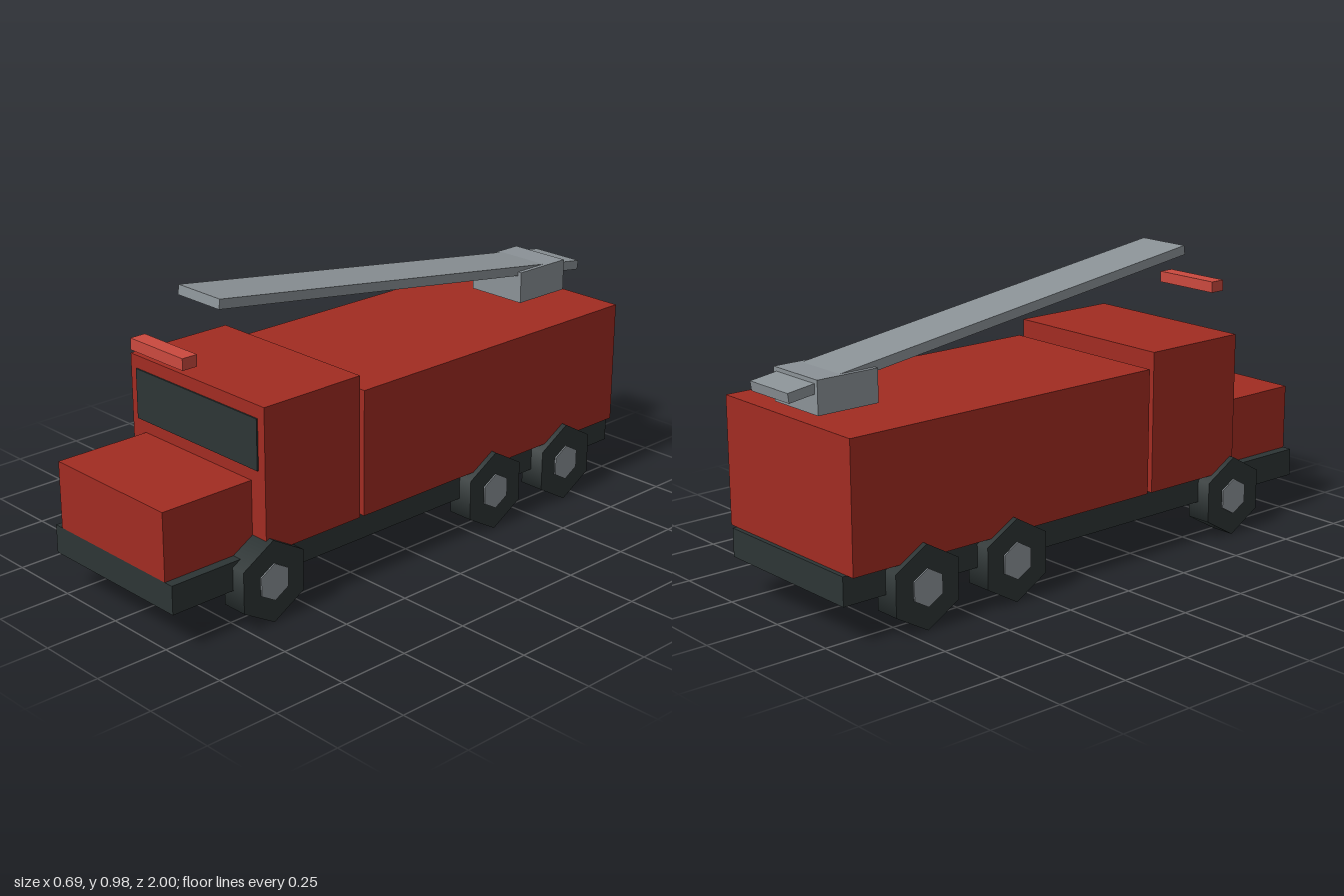
import * as THREE from 'three';

const material = (name, color) => {
  const m = new THREE.MeshStandardMaterial({ color });
  m.name = name;
  return m;
};

export function createModel() {
  const red = material('body red', 0xa32c22);
  const lightRed = material('light bar red', 0xcc4a3f);
  const dark = material('dark slate', 0x2d3535);
  const grey = material('metal grey', 0x8c9398);

  const truck = new THREE.Group();
  truck.name = 'ladderTruck';

  // Box from half width and y, z ranges, centred on x
  const box = (name, mat, halfWidth, [y0, y1], [z0, z1]) => {
    const mesh = new THREE.Mesh(new THREE.BoxGeometry(halfWidth * 2, y1 - y0, z1 - z0), mat);
    mesh.name = name;
    mesh.position.set(0, (y0 + y1) / 2, (z0 + z1) / 2);
    truck.add(mesh);
    return mesh;
  };

  // Chassis and bodywork
  box('chassis', dark, 0.29, [0.13, 0.225], [-0.96, 1.0]);
  box('hood', red, 0.257, [0.225, 0.45], [0.66, 1.0]);
  box('cab', red, 0.321, [0.225, 0.702], [0.275, 0.662]);
  box('rearBody', red, 0.321, [0.225, 0.648], [-0.945, 0.257]);
  box('windshield', dark, 0.291, [0.491, 0.659], [0.66, 0.667]);
  box('lightBar', lightRed, 0.125, [0.8, 0.838], [0.75, 0.805]);

  // Ladder on its turret
  box('turret', grey, 0.112, [0.663, 0.772], [-0.905, -0.683]);
  const ladder = box('ladder', grey, 0.0975, [0.829, 0.861], [-1.006, 0.646]);
  ladder.rotation.x = -0.14;

  // Six-sided wheels with hubs showing on both faces
  const hexagon = (radius, width) =>
    new THREE.CylinderGeometry(radius, radius, width, 6, 1, false, Math.PI / 6).rotateZ(Math.PI / 2);
  const tyreGeometry = hexagon(0.138, 0.09);
  const hubGeometry = hexagon(0.062, 0.1);
  for (const z of [0.65, -0.33, -0.685]) {
    for (const side of [-1, 1]) {
      const wheel = new THREE.Group();
      wheel.name = (side > 0 ? 'left' : 'right') + 'Wheel';
      const tyre = new THREE.Mesh(tyreGeometry, dark);
      tyre.name = 'tyre';
      const hub = new THREE.Mesh(hubGeometry, grey);
      hub.name = 'hub';
      wheel.add(tyre, hub);
      wheel.position.set(side * 0.295, 0.138, z);
      truck.add(wheel);
    }
  }

  return truck;
}
